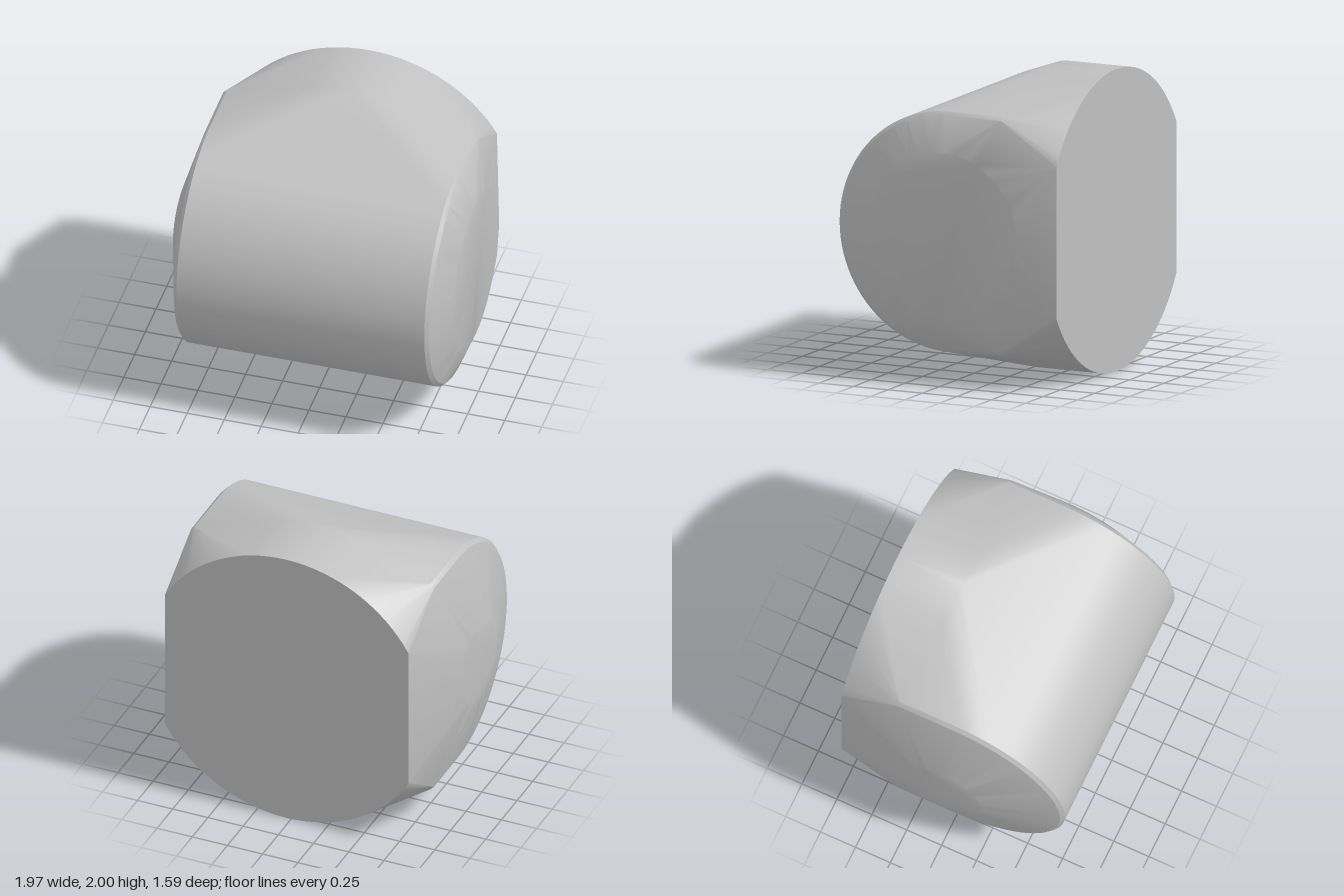
import * as THREE from 'three';
import { ConvexGeometry } from 'three/addons/geometries/ConvexGeometry.js';
import { toCreasedNormals } from 'three/addons/utils/BufferGeometryUtils.js';

const CY = 1; // height of the shared axis

// Ring across x: front half round, optionally squared off towards the back
function barrelRing(points, x, r, backZ, n = 48) {
  for (let i = 0; i <= n; i++) {
    const a = -Math.PI / 2 + (Math.PI * i) / n;
    points.push(new THREE.Vector3(x, CY + r * Math.sin(a), r * Math.cos(a)));
  }
  for (const s of [-1, 1]) points.push(new THREE.Vector3(x, CY + s * r, backZ));
}

// Flat round end cap across x
function endDisc(points, x, r, n = 40) {
  for (let i = 0; i < n; i++) {
    const a = (2 * Math.PI * i) / n;
    points.push(new THREE.Vector3(x, CY + r * Math.sin(a), -0.01 + r * Math.cos(a)));
  }
}

// Upright arcs above and below, cut off at both sides
function drumArcs(points, z, left, right, cx = 0.03, n = 32) {
  const a0 = Math.acos(right - cx), a1 = Math.acos(left - cx);
  for (const s of [-1, 1]) {
    for (let i = 0; i <= n; i++) {
      const a = a0 + ((a1 - a0) * i) / n;
      points.push(new THREE.Vector3(cx + Math.cos(a), CY + s * Math.sin(a), z));
    }
  }
}

export function createModel() {
  const group = new THREE.Group();
  const grey = new THREE.MeshStandardMaterial({ color: 0xc0c0c0 });
  grey.name = 'grey';

  const points = [];
  // Barrel with softened rims
  barrelRing(points, -0.835, 0.77, -0.39);
  barrelRing(points, -0.81, 0.795, -0.39);
  barrelRing(points, 0.865, 0.795, -0.39);
  barrelRing(points, 0.89, 0.77, -0.39);
  // Domed ends
  endDisc(points, -0.985, 0.28);
  endDisc(points, 0.98, 0.54);
  // Round back drum
  drumArcs(points, -0.34, -0.8, 0.86);
  drumArcs(points, -0.795, -0.835, 0.895);

  const geometry = toCreasedNormals(new ConvexGeometry(points), 0.42);
  const body = new THREE.Mesh(geometry, grey);
  body.name = 'body';
  group.add(body);
  return group;
}
